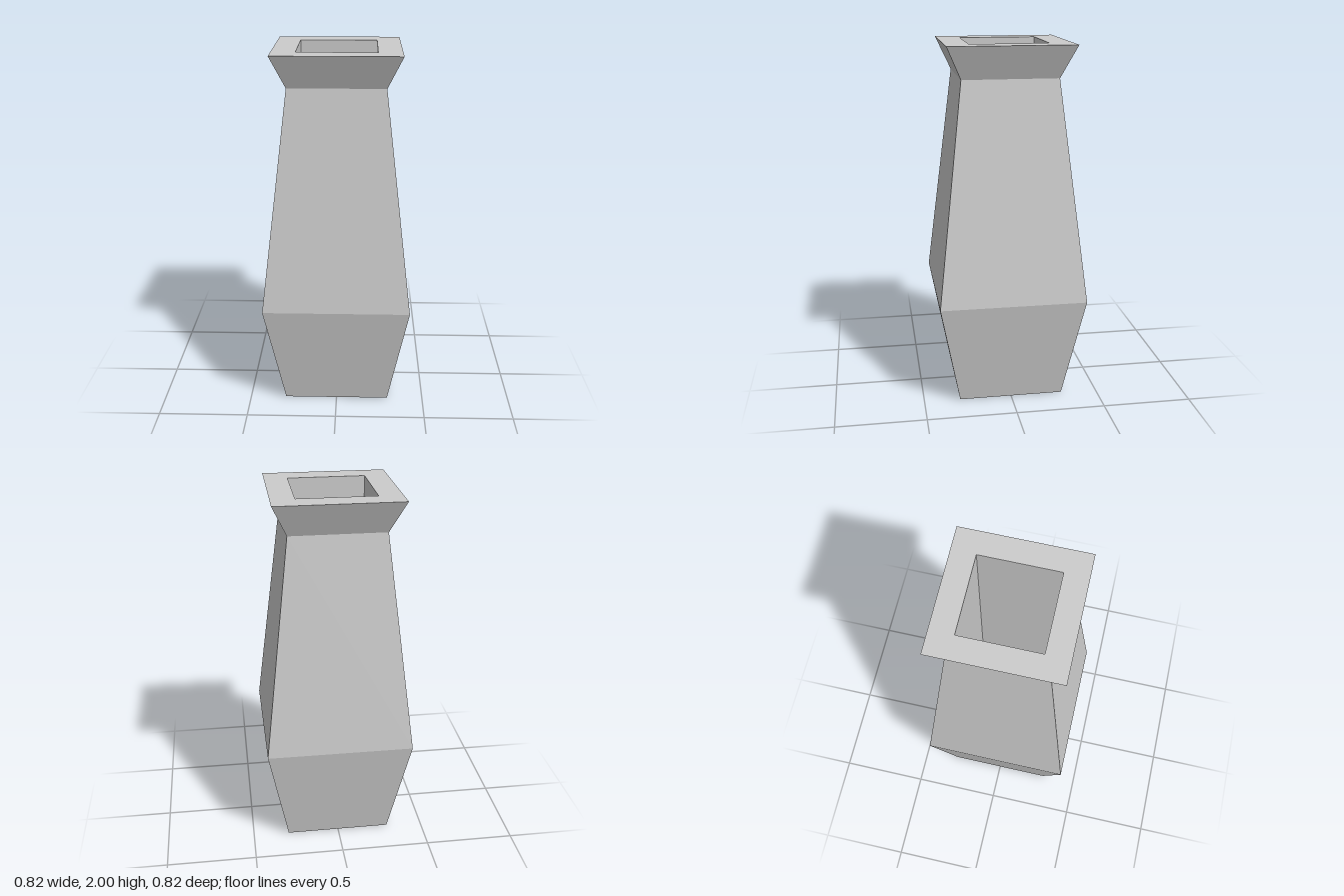
import * as THREE from 'three';

const material = new THREE.MeshStandardMaterial({ color: 0xcccccc, flatShading: true });

// Square-section solid of revolution from [half width, height] pairs
function squareLathe(name, profile) {
  const points = profile.map(([half, y]) => new THREE.Vector2(half * Math.SQRT2, y));
  const geometry = new THREE.LatheGeometry(points, 4, Math.PI / 4).toNonIndexed();
  geometry.computeVertexNormals();
  const mesh = new THREE.Mesh(geometry, material);
  mesh.name = name;
  return mesh;
}

export function createModel() {
  const vase = new THREE.Group();
  vase.name = 'squareVase';

  // Closed base, tapered belly and long shoulder up to the neck
  vase.add(squareLathe('body', [[0, 0], [0.295, 0], [0.408, 0.595], [0.264, 1.82]]));

  // Flared lip with a flat rim
  vase.add(squareLathe('lip', [[0.264, 1.82], [0.345, 2], [0.215, 2]]));

  // Straight square well with a flat floor
  vase.add(squareLathe('well', [[0.215, 2], [0.215, 0.2], [0, 0.2]]));

  return vase;
}
